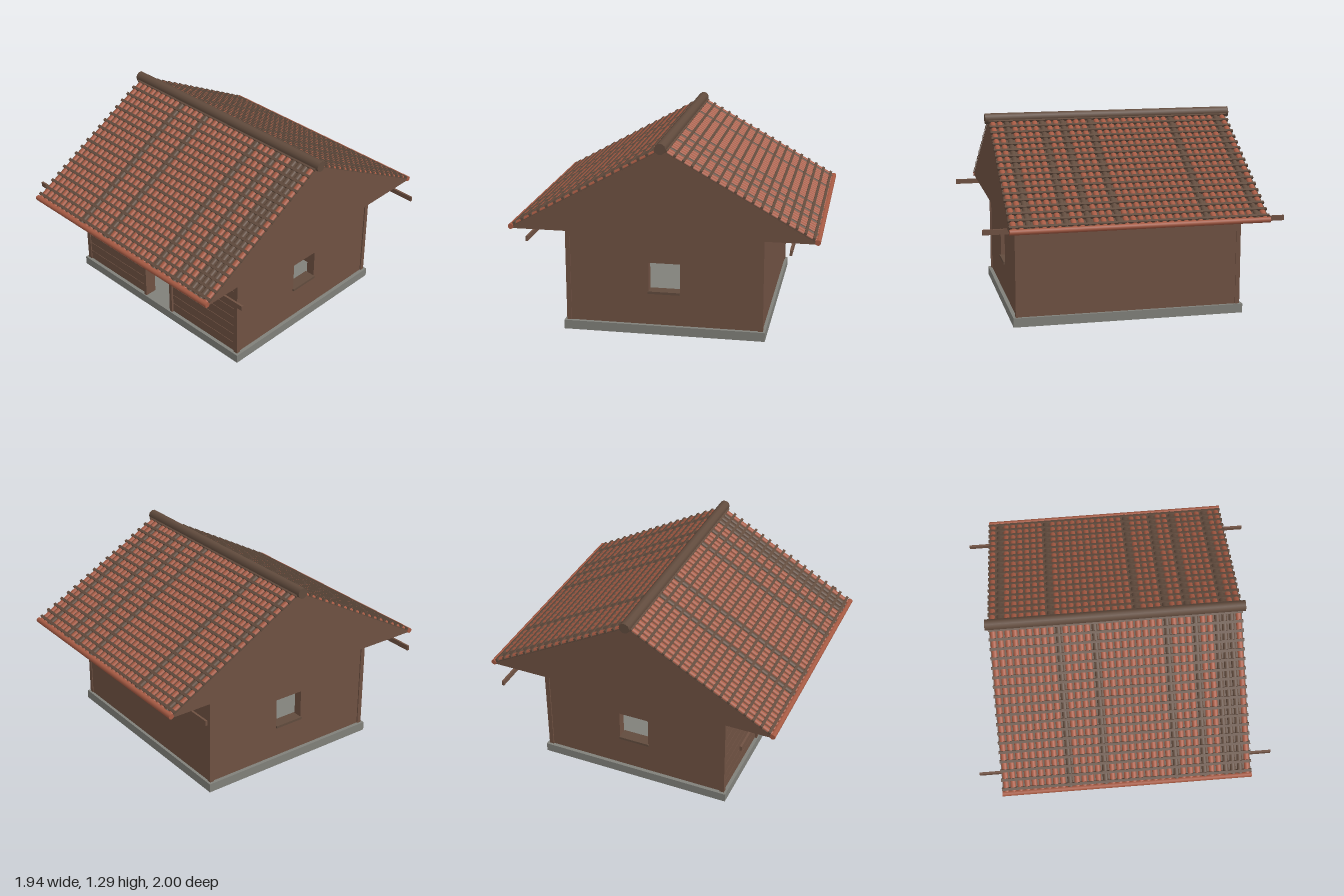
import * as THREE from 'three';
import { mergeGeometries } from 'three/addons/utils/BufferGeometryUtils.js';

const mat = (name, color) => new THREE.MeshStandardMaterial({ name, color });
const wood = mat('wood', 0x6f5142);
const darkWood = mat('darkWood', 0x614b3d);
const tile = mat('tile', 0xa65a43);
const stone = mat('stone', 0x80807a);

function add(parent, name, geometry, material) {
  const mesh = new THREE.Mesh(geometry, material);
  mesh.name = name;
  parent.add(mesh);
  return mesh;
}

// Box given by its lower and upper limits on each axis
function box(x0, x1, y0, y1, z0, z1) {
  const g = new THREE.BoxGeometry(x1 - x0, y1 - y0, z1 - z0);
  return g.translate((x0 + x1) / 2, (y0 + y1) / 2, (z0 + z1) / 2);
}

function polygon(points, Type = THREE.Shape) {
  return new Type(points.map(([x, y]) => new THREE.Vector2(x, y)));
}

const rect = (x0, x1, y0, y1) => [[x0, y0], [x1, y0], [x1, y1], [x0, y1]];
const extrude = (shape, depth) => new THREE.ExtrudeGeometry(shape, { depth, bevelEnabled: false });

const FLOOR = 0.06, TOP = 0.69, RIDGE = 1.245, EAVE = 0.98, ROOF_X = 0.82;

// One slope: local z runs down from the ridge, local y points out of the roof
function roofSlope(name, darkColumns, sideways) {
  const holder = new THREE.Group();
  holder.name = name;
  const slope = new THREE.Group();
  const drop = RIDGE - 0.7;
  const length = Math.hypot(EAVE, drop);
  slope.position.y = RIDGE;
  slope.rotation.x = Math.atan2(drop, EAVE);
  holder.add(slope);

  add(slope, 'roofBoarding', box(-ROOF_X, ROOF_X, -0.004, 0.003, 0, length), darkWood);

  // Rounded tile ribs, some of them weathered dark
  const ribs = { red: [], dark: [] };
  const columns = 35, step = (2 * ROOF_X) / columns;
  for (let i = 0; i < columns; i++) {
    const x = -ROOF_X + (i + 0.5) * step;
    const dark = darkColumns.some((d) => Math.abs(d * sideways - x) < step / 2);
    const rib = new THREE.CylinderGeometry(0.018, 0.018, length, 8, 1, false, Math.PI / 2, Math.PI);
    rib.rotateX(Math.PI / 2).scale(1, 0.75, 1).translate(x, 0.002, length / 2);
    ribs[dark ? 'dark' : 'red'].push(rib);
  }
  add(slope, 'tileRibs', mergeGeometries(ribs.red), tile);
  add(slope, 'weatheredRibs', mergeGeometries(ribs.dark), darkWood);

  // Cross battens at every tile course
  const battens = [];
  const rows = 18;
  for (let i = 0; i < rows; i++) {
    const z = ((i + 0.5) * length) / rows;
    battens.push(box(-0.826, 0.826, 0.002, 0.019, z - 0.009, z + 0.009));
  }
  add(slope, 'battens', mergeGeometries(battens), darkWood);

  const roll = new THREE.CylinderGeometry(0.018, 0.018, 2 * ROOF_X + 0.01, 10);
  add(holder, 'eaveRoll', roll.rotateZ(Math.PI / 2).translate(0, 0.702, EAVE + 0.002), tile);
  return holder;
}

export function createModel() {
  const house = new THREE.Group();
  house.name = 'cottage';

  add(house, 'foundation', box(-0.765, 0.765, 0, FLOOR, -0.66, 0.66), stone);

  // Front wall with doorway, plain back wall
  const front = polygon([[-0.73, FLOOR], [-0.12, FLOOR], [-0.12, 0.52], [0.115, 0.52],
    [0.115, FLOOR], [0.73, FLOOR], [0.73, TOP], [-0.73, TOP]]);
  add(house, 'frontWall', extrude(front, 0.06).translate(0, 0, 0.57), wood);
  add(house, 'backWall', box(-0.73, 0.73, FLOOR, TOP, -0.64, -0.58), wood);

  // Horizontal siding on the front, with narrow joints
  const planks = [];
  const count = 9, h = (TOP - FLOOR) / count;
  for (let i = 0; i < count; i++) {
    const y0 = FLOOR + i * h + 0.002, y1 = FLOOR + (i + 1) * h - 0.002;
    planks.push(box(-0.722, -0.138, y0, y1, 0.629, 0.638));
    planks.push(box(0.138, 0.722, y0, y1, 0.629, 0.638));
  }
  planks.push(box(-0.138, 0.138, 0.56, TOP, 0.629, 0.638));
  add(house, 'siding', mergeGeometries(planks), wood);

  // Side walls with window openings, sills and corner posts
  for (const s of [-1, 1]) {
    const side = polygon(rect(-0.62, 0.62, FLOOR, TOP));
    side.holes.push(polygon(rect(-0.1, 0.105, 0.28, 0.48).reverse(), THREE.Path));
    const wall = extrude(side, 0.06).rotateY(Math.PI / 2).translate(s > 0 ? 0.68 : -0.74, 0, 0);
    add(house, 'sideWall', wall, wood);
    add(house, 'windowSill', box(s * 0.71 - 0.04, s * 0.71 + 0.04, 0.272, 0.288, -0.105, 0.105), darkWood);
    for (const t of [-1, 1]) {
      const post = box(-0.015, 0.015, FLOOR, TOP, -0.015, 0.015);
      add(house, 'cornerPost', post.translate(s * 0.733, 0, t * 0.63), wood);
    }
  }

  // Door frame
  add(house, 'doorPost', box(-0.142, -0.12, FLOOR, 0.54, 0.57, 0.652), wood);
  add(house, 'doorPost', box(0.115, 0.138, FLOOR, 0.54, 0.57, 0.652), wood);
  add(house, 'doorHeader', box(-0.12, 0.115, 0.52, 0.54, 0.6, 0.65), wood);
  add(house, 'doorLintel', box(-0.16, 0.16, 0.54, 0.565, 0.62, 0.66), wood);

  // Bench along the back wall inside
  add(house, 'benchSeat', box(-0.66, 0.66, 0.25, 0.285, -0.58, -0.38), wood);
  add(house, 'benchApron', box(-0.66, 0.66, 0.22, 0.25, -0.42, -0.4), wood);
  add(house, 'benchPlinth', box(-0.66, 0.66, FLOOR, 0.11, -0.58, -0.42), wood);

  // Closed gable body under the roof
  const gable = polygon([[-EAVE, TOP], [EAVE, TOP], [EAVE, 0.7], [0, RIDGE], [-EAVE, 0.7]]);
  const loft = extrude(gable, 2 * ROOF_X).rotateY(Math.PI / 2).translate(-ROOF_X, 0, 0);
  add(house, 'gable', loft, wood);

  // Long beams under the eaves
  for (const s of [-1, 1]) {
    add(house, 'eaveBeam', box(-0.972, 0.972, 0.658, 0.691, s * 0.83 - 0.007, s * 0.83 + 0.007), wood);
  }

  // Two tiled slopes and the ridge roll
  house.add(roofSlope('frontSlope', [-0.36, -0.14, 0.31, 0.5, 0.66, 0.71, 0.76], 1));
  const back = roofSlope('backSlope', [-0.75, -0.42, 0.13, 0.31, 0.48, 0.72], -1);
  back.rotation.y = Math.PI;
  house.add(back);
  const ridge = new THREE.CylinderGeometry(0.036, 0.036, 1.69, 10).rotateZ(Math.PI / 2);
  add(house, 'ridgeRoll', ridge.translate(0, 1.255, 0), darkWood);

  return house;
}
